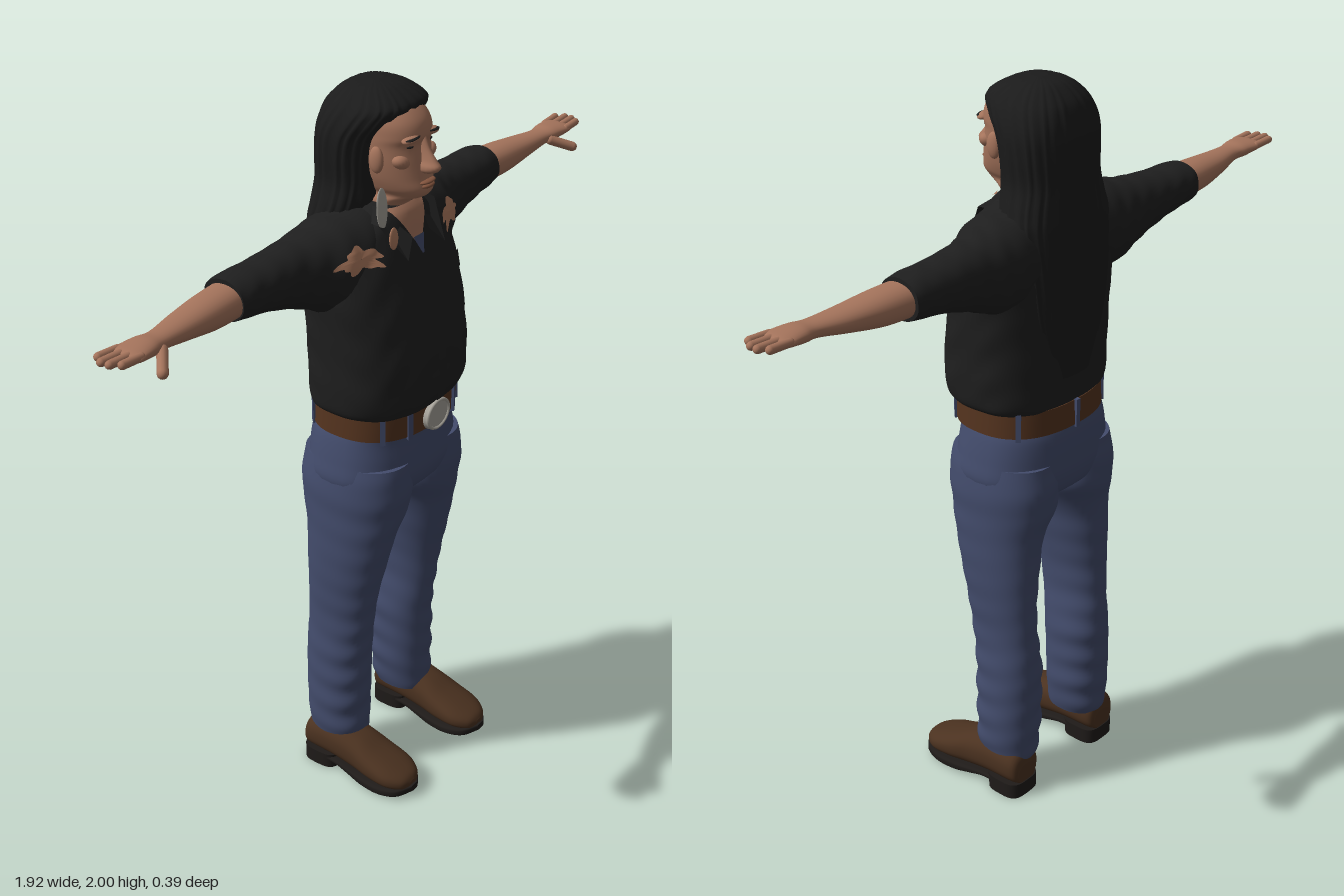
import * as THREE from 'three';

const mat = (name, color, side = THREE.FrontSide) => {
  const m = new THREE.MeshStandardMaterial({ color, side });
  m.name = name;
  return m;
};
const skin = mat('skin', 0xa5745c), lipTone = mat('lip', 0x85563f), hairBlack = mat('hair black', 0x1b1b1b);
const cloth = mat('shirt black', 0x1f1f1f, THREE.DoubleSide), denim = mat('denim', 0x434c6c);
const leather = mat('belt leather', 0x55341f), boot = mat('shoe brown', 0x4b3220), rubber = mat('sole', 0x1f1b19);
const silver = mat('silver', 0xa9a59c), thread = mat('embroidery', 0xb07c60);

const mesh = (name, geo, material, parent) => {
  const m = new THREE.Mesh(geo, material);
  m.name = name;
  parent.add(m);
  return m;
};

// Smooth closed skin through cross-section rows; place() turns a row and a ring point into x, y, z
function loft(rows, place, { n = 2.2, seg = 40, steps = 6 } = {}) {
  const pos = [], idx = [], N = (rows.length - 1) * steps;
  const at = i => rows[Math.max(0, Math.min(rows.length - 1, i))];
  const ring = k => {
    const i = Math.min(Math.floor(k / steps), rows.length - 2), t = k / steps - i;
    const [a, b, c, d] = [at(i - 1), at(i), at(i + 1), at(i + 2)];
    const row = b.map((p, j) => p + 0.5 * t * (c[j] - a[j] + t * (2 * a[j] - 5 * p + 4 * c[j] - d[j] + t * (3 * (p - c[j]) + d[j] - a[j]))));
    for (let s = 0; s < seg; s++) {
      const ang = s / seg * Math.PI * 2, co = Math.cos(ang), si = Math.sin(ang);
      pos.push(...place(row, Math.sign(co) * Math.abs(co) ** (2 / n), Math.sign(si) * Math.abs(si) ** (2 / n), ang));
    }
  };
  for (let k = 0; k <= N; k++) ring(k);
  for (let k = 0; k < N; k++) for (let s = 0; s < seg; s++) {
    const a = k * seg + s, b = k * seg + (s + 1) % seg;
    idx.push(a, a + seg, b, b, a + seg, b + seg);
  }
  for (const k of [0, N]) {
    const base = pos.length / 3, mid = [0, 0, 0];
    ring(k);
    for (let s = 0; s < seg; s++) for (let j = 0; j < 3; j++) mid[j] += pos[(base + s) * 3 + j] / seg;
    pos.push(...mid);
    for (let s = 0; s < seg; s++) {
      const a = base + s, b = base + (s + 1) % seg;
      idx.push(base + seg, ...(k ? [b, a] : [a, b]));
    }
  }
  // turn the faces outwards
  let vol = 0;
  const p = i => new THREE.Vector3().fromArray(pos, i * 3);
  for (let i = 0; i < idx.length; i += 3) vol += p(idx[i]).dot(p(idx[i + 1]).cross(p(idx[i + 2])));
  if (vol < 0) idx.reverse();
  const g = new THREE.BufferGeometry();
  g.setAttribute('position', new THREE.Float32BufferAttribute(pos, 3));
  g.setIndex(idx);
  g.computeVertexNormals();
  return g;
}
// rows [y, halfWidth, zFront, zBack, centreX]
const upright = ([y, rx, zf, zb, cx = 0], u, v) => [cx + rx * u, y, (zf + zb) / 2 + (zf - zb) / 2 * v];
// rows [x, yTop, yBottom, zFront, zBack]
const sideways = sx => ([x, t, b, zf, zb], u, v) => [sx * x, (t + b) / 2 + (t - b) / 2 * v, (zf + zb) / 2 + (zf - zb) / 2 * u];
// rows [z, yTop, yBottom, halfWidth]
const lengthways = cx => ([z, t, b, rx], u, v) => [cx + rx * u, (t + b) / 2 + (t - b) / 2 * v, z];

// Lays a flat front-facing geometry onto the surface behind it
function drape(geo, targets, lift) {
  const ray = new THREE.Raycaster(), p = geo.attributes.position;
  let z = 0.1;
  for (let i = 0; i < p.count; i++) {
    ray.set(new THREE.Vector3(p.getX(i), p.getY(i), 1), new THREE.Vector3(0, 0, -1));
    const hit = ray.intersectObjects(targets)[0];
    if (hit) z = hit.point.z;
    p.setZ(i, z + lift);
  }
  geo.computeVertexNormals();
  return geo;
}
// Grid patch whose half width runs from w0 (top) to w1 (bottom)
function patch(cx, top, bottom, w0, w1) {
  const g = new THREE.PlaneGeometry(2, 1, 8, 10), p = g.attributes.position;
  for (let i = 0; i < p.count; i++) {
    const t = 0.5 - p.getY(i);
    p.setXY(i, cx + p.getX(i) * (w0 + (w1 - w0) * t), top + (bottom - top) * t);
  }
  return g;
}
const ball = (name, material, parent, [x, y, z], [a, b, c], rz = 0) => {
  const m = mesh(name, new THREE.SphereGeometry(1, 20, 14), material, parent);
  m.position.set(x, y, z);
  m.scale.set(a, b, c);
  m.rotation.z = rz;
  return m;
};

function makeHead(g) {
  mesh('headAndNeck', loft([[1.58, .08, .04, -.09], [1.68, .068, .042, -.1], [1.712, .066, .06, -.1], [1.73, .056, .1, -.1],
    [1.75, .066, .113, -.1], [1.78, .077, .107, -.1], [1.82, .085, .1, -.1], [1.86, .088, .094, -.1], [1.885, .088, .1, -.1],
    [1.92, .085, .09, -.1], [1.955, .068, .058, -.1], [1.975, .04, .02, -.08]], upright), skin, g);
  mesh('nose', loft([[1.882, .009, .1, .06], [1.85, .011, .114, .06], [1.825, .015, .132, .06], [1.81, .021, .143, .06],
    [1.798, .02, .136, .06], [1.79, .01, .115, .06]], upright, { seg: 20 }), skin, g);
  ball('upperLip', lipTone, g, [0, 1.77, .106], [.029, .006, .014]);
  ball('lowerLip', lipTone, g, [0, 1.76, .106], [.025, .007, .014]);
  for (const s of [1, -1]) {
    ball('brow', skin, g, [s * .038, 1.883, .084], [.032, .01, .018], s * -.1);
    ball('eyebrow', hairBlack, g, [s * .04, 1.886, .09], [.027, .004, .013], s * -.08);
    ball('eye', hairBlack, g, [s * .037, 1.862, .081], [.014, .004, .008]);
    ball('cheekbone', skin, g, [s * .054, 1.825, .066], [.026, .018, .022], s * .4);
    ball('ear', skin, g, [s * .088, 1.83, .018], [.012, .034, .02]);
  }
  // long hair drawn back from the forehead and down over the back, with strands
  mesh('hair', loft([[2, .02, -.03, -.07], [1.988, .07, .02, -.115], [1.955, .112, .068, -.152], [1.92, .132, .05, -.168],
    [1.88, .141, .02, -.175], [1.83, .141, .006, -.178], [1.76, .138, 0, -.18], [1.7, .155, -.01, -.182], [1.65, .165, -.04, -.184],
    [1.55, .155, -.08, -.188], [1.4, .13, -.1, -.189], [1.25, .07, -.12, -.184]],
  (r, u, v, a) => {
    const k = 1 + .014 * Math.sin(a * 26 + Math.sin(r[0] * 9)) + .008 * Math.sin(a * 41);
    return upright(r, u * k, v * k);
  }, { n: 2.5, seg: 120 }), hairBlack, g);
  ball('featherEarring', silver, g, [-.103, 1.715, .045], [.021, .056, .006], .08);
  ball('featherTip', thread, g, [-.1, 1.645, .078], [.017, .03, .006], .1);
}

function makeShirt(g) {
  const body = mesh('shirtBody', loft([[1.165, .195, .13, -.17], [1.185, .222, .148, -.177], [1.25, .228, .157, -.18], [1.35, .23, .148, -.18],
    [1.45, .235, .125, -.18], [1.52, .235, .105, -.18], [1.6, .215, .08, -.175], [1.65, .17, .065, -.165], [1.69, .11, .05, -.15],
    [1.71, .075, .03, -.12]], (r, u, v, a) => {
    const k = 1 + .008 * Math.sin(r[0] * 55 + 3 * Math.sin(a * 3)) * Math.sin(a * 5);
    return upright(r, u * k, v * k);
  }, { n: 2.5, seg: 72 }), cloth, g);
  const targets = [body];
  for (const s of [1, -1]) {
    const place = sideways(s);
    targets.push(mesh('sleeve', loft([[.1, 1.705, 1.47, .06, -.17], [.2, 1.69, 1.455, .042, -.17], [.26, 1.675, 1.475, .012, -.165],
      [.32, 1.667, 1.5, -.01, -.158], [.42, 1.658, 1.53, -.02, -.157], [.5, 1.657, 1.543, -.025, -.157], [.535, 1.652, 1.548, -.03, -.152]],
    (r, u, v, a) => {
      const k = 1 + .022 * Math.sin(r[0] * 90 + 2 * Math.sin(a * 2)) * Math.sin(a * 3);
      return place(r, u * k, v * k);
    }), cloth, g));
  }
  for (const s of [1, -1]) {
    // floral shoulder embroidery with a ragged edge
    const blob = new THREE.RingGeometry(.01, 1, 60, 8), p = blob.attributes.position;
    for (let i = 0; i < p.count; i++) {
      const a = Math.atan2(p.getY(i), p.getX(i)), k = .82 + .16 * Math.sin(a * 5 + 1) + .1 * Math.sin(a * 9);
      const x = p.getX(i) * k, y = p.getY(i) * k;
      p.setXY(i, .188 + .068 * x, 1.607 + .034 * y - .018 * x * x + .006);
      p.setX(i, s * p.getX(i));
    }
    if (s < 0) blob.index.array.reverse();
    mesh('shoulderEmbroidery', drape(blob, targets, .006), thread, g);
    mesh('chestPocket', drape(patch(s * .11, 1.5, 1.38, .055, .05), targets, .005), cloth, g);
    mesh('pocketFlap', drape(patch(s * .11, 1.525, 1.485, .06, .055), targets, .009), cloth, g);
    // collar flap with its pointed tip, wrapping to the back of the neck
    const c = [[.07, 1.7, -.1], [.08, 1.705, .01], [.035, 1.63, .088], [.078, 1.585, .107], [.118, 1.675, .045], [.1, 1.68, -.11]];
    const geo = new THREE.BufferGeometry();
    const tri = [1, 2, 3, 1, 3, 4, 0, 1, 4, 0, 4, 5].flatMap(i => [s * c[i][0], c[i][1], c[i][2]]);
    geo.setAttribute('position', new THREE.Float32BufferAttribute(tri, 3));
    geo.computeVertexNormals();
    mesh('collar', geo, cloth, g);
  }
  mesh('openNeck', drape(patch(0, 1.7, 1.6, .07, .008), targets, .006), skin, g);
  mesh('undershirt', drape(patch(0, 1.622, 1.578, .022, .003), targets, .009), denim, g);
  mesh('placket', drape(patch(0, 1.585, 1.185, .016, .016), targets, .006), cloth, g);
}

function makeArm(g, s) {
  mesh('forearm', loft([[.5, 1.643, 1.556, -.035, -.145], [.6, 1.64, 1.557, -.032, -.137], [.7, 1.632, 1.572, -.034, -.12],
    [.785, 1.627, 1.586, -.035, -.1], [.83, 1.63, 1.589, -.026, -.106], [.88, 1.626, 1.597, -.02, -.11], [.9, 1.62, 1.602, -.026, -.105]],
  sideways(s), { seg: 28 }), skin, g);
  const digit = (name, from, to, r) => {
    const a = new THREE.Vector3(...from), b = new THREE.Vector3(...to), d = b.clone().sub(a);
    const m = mesh(name, new THREE.CapsuleGeometry(r, d.length() - r, 6, 12), skin, g);
    m.position.copy(a).add(b).multiplyScalar(.5);
    m.quaternion.setFromUnitVectors(new THREE.Vector3(0, 1, 0), d.normalize());
  };
  [.94, .955, .953, .938].forEach((tip, i) => {
    const z = -.099 + i * .0225;
    digit('finger', [s * .87, 1.613, z], [s * tip, 1.617, z * 1.03], .0105);
  });
  digit('thumb', [s * .8, 1.602, -.04], [s * .858, 1.573, .012], .0135);
}

function makeLeg(g, s) {
  mesh('trouserLeg', loft([[1.02, .105, .118, -.18, .108], [.95, .112, .126, -.19, .113], [.88, .109, .117, -.185, .116],
    [.8, .09, .096, -.166, .135], [.7, .08, .073, -.162, .144], [.6, .07, .05, -.16, .149], [.5, .066, .034, -.163, .148],
    [.4, .075, .02, -.17, .145], [.3, .077, .016, -.17, .147], [.2, .078, .012, -.167, .148], [.13, .07, .012, -.162, .15], [.105, .066, .008, -.155, .15]],
  (r, u, v, a) => {
    const amp = .008 + .03 * THREE.MathUtils.smoothstep(.75 - r[0], 0, .5);
    const k = 1 + amp * Math.sin(r[0] * 75 + 2.5 * Math.sin(a + 1)) * (.6 + .4 * Math.sin(a * 2));
    const [x, y, z] = upright(r, u * k, v * k);
    return [s * x, y, z];
  }, { steps: 9 }), denim, g);
  const cx = s * .167;
  mesh('shoe', loft([[-.16, .1, .04, .035], [-.14, .14, .038, .055], [-.05, .15, .035, .06], [.02, .135, .025, .061], [.08, .108, .02, .067],
    [.14, .084, .02, .065], [.18, .066, .022, .042], [.194, .05, .03, .015]], lengthways(cx), { n: 2.4 }), boot, g);
  mesh('sole', loft([[-.1, .04, .025, .055], [-.04, .038, .022, .055], [.01, .033, .01, .06], [.06, .03, 0, .067], [.12, .03, 0, .07],
    [.17, .034, .005, .054], [.2, .038, .018, .015]], lengthways(cx), { n: 4 }), rubber, g);
  mesh('heel', loft([[0, .057, -.05, -.163, cx], [.045, .057, -.047, -.163, cx]], upright, { n: 3.5, steps: 1 }), rubber, g);
}

function makeWaist(g) {
  mesh('trouserHips', loft([[1.125, .192, .124, -.172], [1.09, .204, .118, -.183], [1.03, .216, .124, -.189], [.97, .222, .125, -.189],
    [.92, .19, .1, -.17], [.895, .1, .04, -.12]], upright, { n: 2.4 }), denim, g);
  mesh('belt', loft([[1.106, .203, .136, -.182], [1.175, .2, .138, -.179]], upright, { n: 2.4, steps: 1, seg: 60 }), leather, g);
  for (const a of [.7, 1.15, 1.99, 2.44, 3.8, 4.71, 5.62]) {
    const co = Math.cos(a), si = Math.sin(a), e = 2 / 2.4;
    const m = mesh('beltLoop', new THREE.BoxGeometry(.014, .078, .01), denim, g);
    m.position.set(Math.sign(co) * .203 * Math.abs(co) ** e, 1.138, -.022 + Math.sign(si) * .16 * Math.abs(si) ** e);
    m.rotation.y = Math.PI / 2 - a;
  }
  const buckle = mesh('buckle', new THREE.CylinderGeometry(.05, .052, .012, 36), silver, g);
  buckle.rotation.x = Math.PI / 2;
  buckle.scale.z = .84;
  buckle.position.set(0, 1.138, .142);
  const rim = mesh('buckleRim', new THREE.TorusGeometry(.046, .005, 8, 36), silver, g);
  rim.scale.y = .84;
  rim.position.set(0, 1.138, .147);
}

export function createModel() {
  const model = new THREE.Group();
  const part = (name, build, ...args) => {
    const g = new THREE.Group();
    g.name = name;
    build(g, ...args);
    model.add(g);
  };
  part('head', makeHead);
  part('shirt', makeShirt);
  part('waist', makeWaist);
  for (const s of [1, -1]) {
    part(s > 0 ? 'leftArm' : 'rightArm', makeArm, s);
    part(s > 0 ? 'leftLeg' : 'rightLeg', makeLeg, s);
  }
  return model;
}
